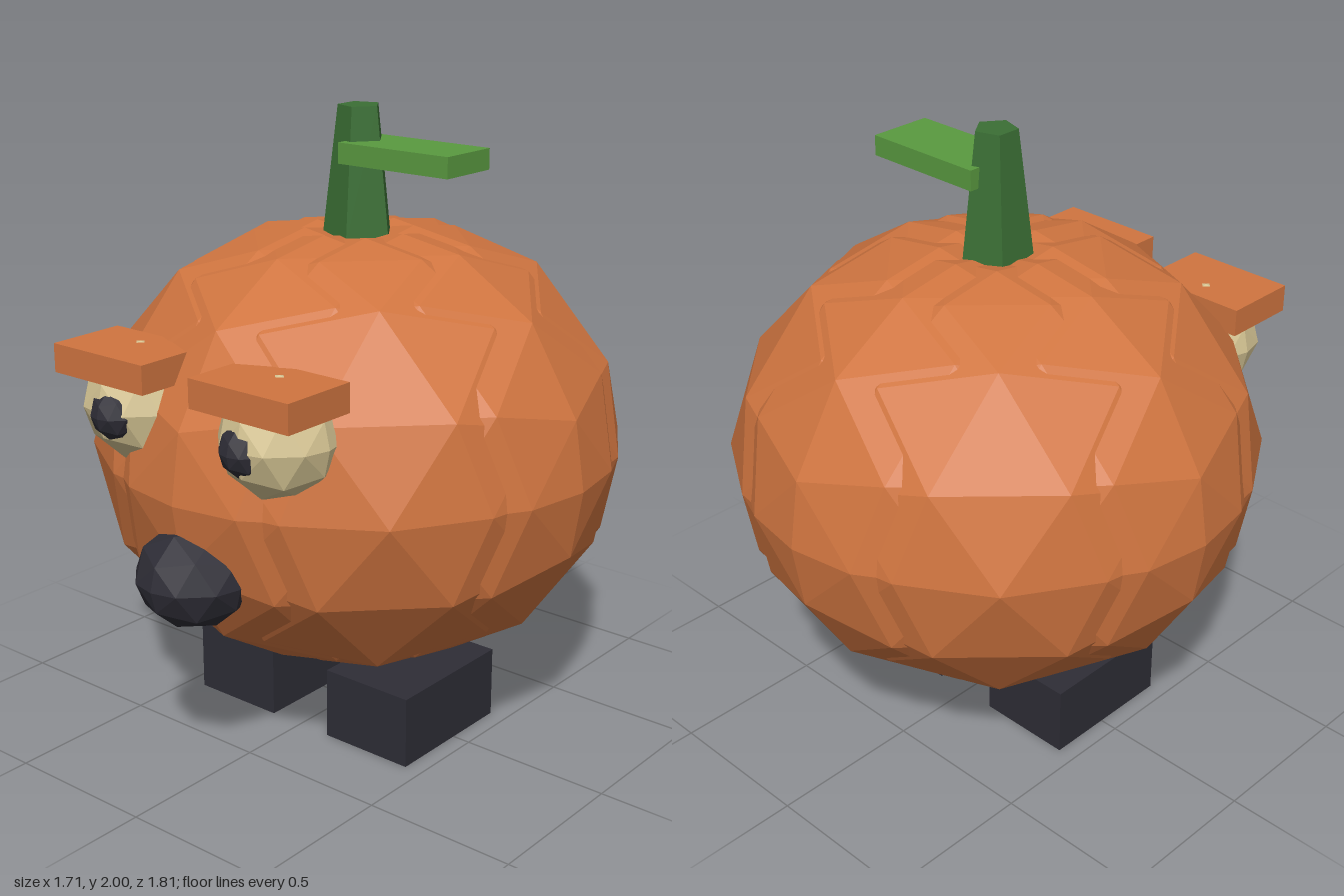
import * as THREE from 'three';

const mat = (name, color) => {
  const m = new THREE.MeshStandardMaterial({ color });
  m.name = name;
  return m;
};

export function createModel() {
  const orange = mat('pumpkin orange', 0xd07540);
  const charcoal = mat('charcoal', 0x2e2d36);
  const cream = mat('cream', 0xd6c594);
  const stemGreen = mat('stem green', 0x3b6f35);
  const leafGreen = mat('leaf green', 0x5a9a40);

  const model = new THREE.Group();
  model.name = 'pumpkinCreature';

  const add = (parent, name, geometry, material, x, y, z) => {
    const mesh = new THREE.Mesh(geometry, material);
    mesh.name = name;
    mesh.position.set(x, y, z);
    parent.add(mesh);
    return mesh;
  };

  // Faceted ball: subdivided octahedron with one normal per face
  const ball = (radius, detail, sy = 1) => {
    const g = new THREE.OctahedronGeometry(radius, detail).scale(1, sy, 1);
    g.computeVertexNormals();
    return g;
  };

  // Body: a ring of eight overlapping lobes
  const body = new THREE.Group();
  body.name = 'body';
  model.add(body);
  const lobe = ball(0.685, 3);
  for (let i = 0; i < 8; i++) {
    const a = (i * Math.PI) / 4;
    add(body, 'lobe', lobe, orange, 0.172 * Math.cos(a), 0.934, -0.05 + 0.172 * Math.sin(a));
  }

  // Stem: tapered, five sides, with a corner towards +x
  const stemGeo = new THREE.CylinderGeometry(0.068, 0.117, 0.42, 5, 1, false, Math.PI / 2).toNonIndexed();
  stemGeo.computeVertexNormals();
  add(model, 'stem', stemGeo, stemGreen, 0, 1.79, -0.05);
  add(model, 'leaf', new THREE.BoxGeometry(0.415, 0.065, 0.21), leafGreen, 0.2075, 1.863, -0.05);

  // Mouth
  add(model, 'mouth', ball(0.185, 2, 0.87), charcoal, 0, 0.695, 0.72);

  // Paired parts
  for (const side of [1, -1]) {
    const label = side > 0 ? 'left' : 'right';
    add(model, label + 'Eye', ball(0.184, 2), cream, side * 0.278, 1.165, 0.643);
    add(model, label + 'Pupil', ball(0.083, 2), charcoal, side * 0.261, 1.155, 0.763);
    add(model, label + 'Brow', new THREE.BoxGeometry(0.373, 0.09, 0.258), orange, side * 0.279, 1.3, 0.69);
    add(model, label + 'Foot', new THREE.BoxGeometry(0.323, 0.234, 0.464), charcoal, side * 0.278, 0.117, 0.023);
  }

  return model;
}
